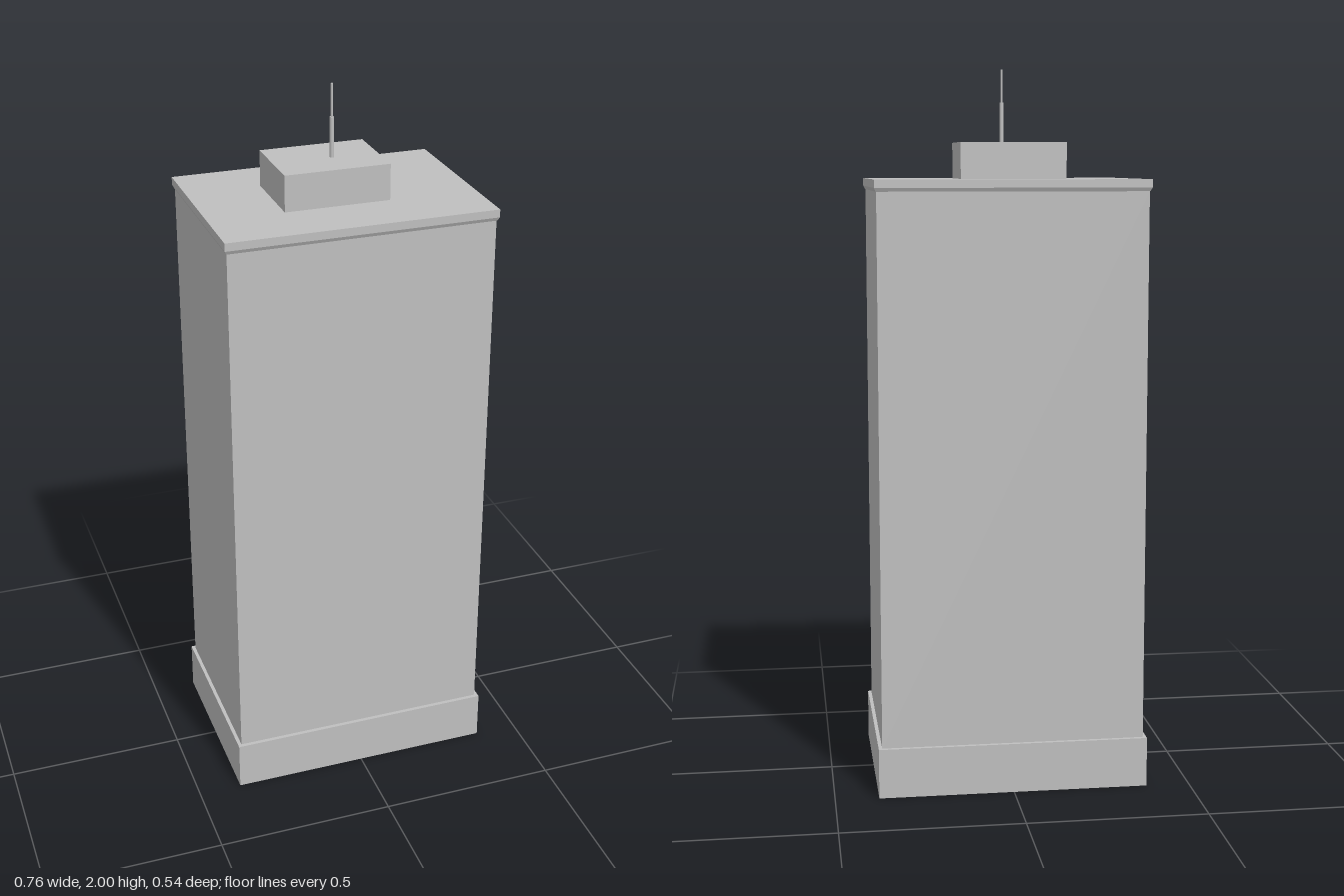
import * as THREE from 'three';

export function createModel() {
  const model = new THREE.Group();
  model.name = 'towerBlock';

  const concrete = new THREE.MeshStandardMaterial({ color: 0xbfbfbf });
  concrete.name = 'concreteGrey';

  function add(name, geometry, x, y, z) {
    const mesh = new THREE.Mesh(geometry, concrete);
    mesh.name = name;
    mesh.position.set(x, y, z);
    model.add(mesh);
    return mesh;
  }

  // Box given by its size, its bottom height and its centre in plan
  function block(name, w, d, y0, y1, x = 0, z = 0) {
    return add(name, new THREE.BoxGeometry(w, y1 - y0, d), x, (y0 + y1) / 2, z);
  }

  // Plinth and main shaft
  block('plinth', 0.756, 0.538, 0, 0.14);
  block('shaft', 0.736, 0.516, 0.14, 1.67);

  // Cornice: an outward-sloping underside, then a flat band
  const slope = new THREE.BoxGeometry(0.748, 0.01, 0.53);
  const p = slope.attributes.position;
  for (let i = 0; i < p.count; i++) {
    if (p.getY(i) < 0) {
      p.setX(i, Math.sign(p.getX(i)) * 0.369);
      p.setZ(i, Math.sign(p.getZ(i)) * 0.26);
    }
  }
  slope.computeVertexNormals();
  add('corniceUnderside', slope, 0, 1.673, 0);
  block('corniceBand', 0.748, 0.53, 1.678, 1.7);

  // Plant room, set off centre on the roof
  block('plantRoom', 0.293, 0.22, 1.7, 1.8, -0.0185, -0.007);

  // Two-stage antenna mast
  add('mastLower', new THREE.CylinderGeometry(0.006, 0.006, 0.11, 12), 0, 1.855, 0);
  add('mastUpper', new THREE.CylinderGeometry(0.003, 0.003, 0.09, 12), 0, 1.955, 0);

  return model;
}
